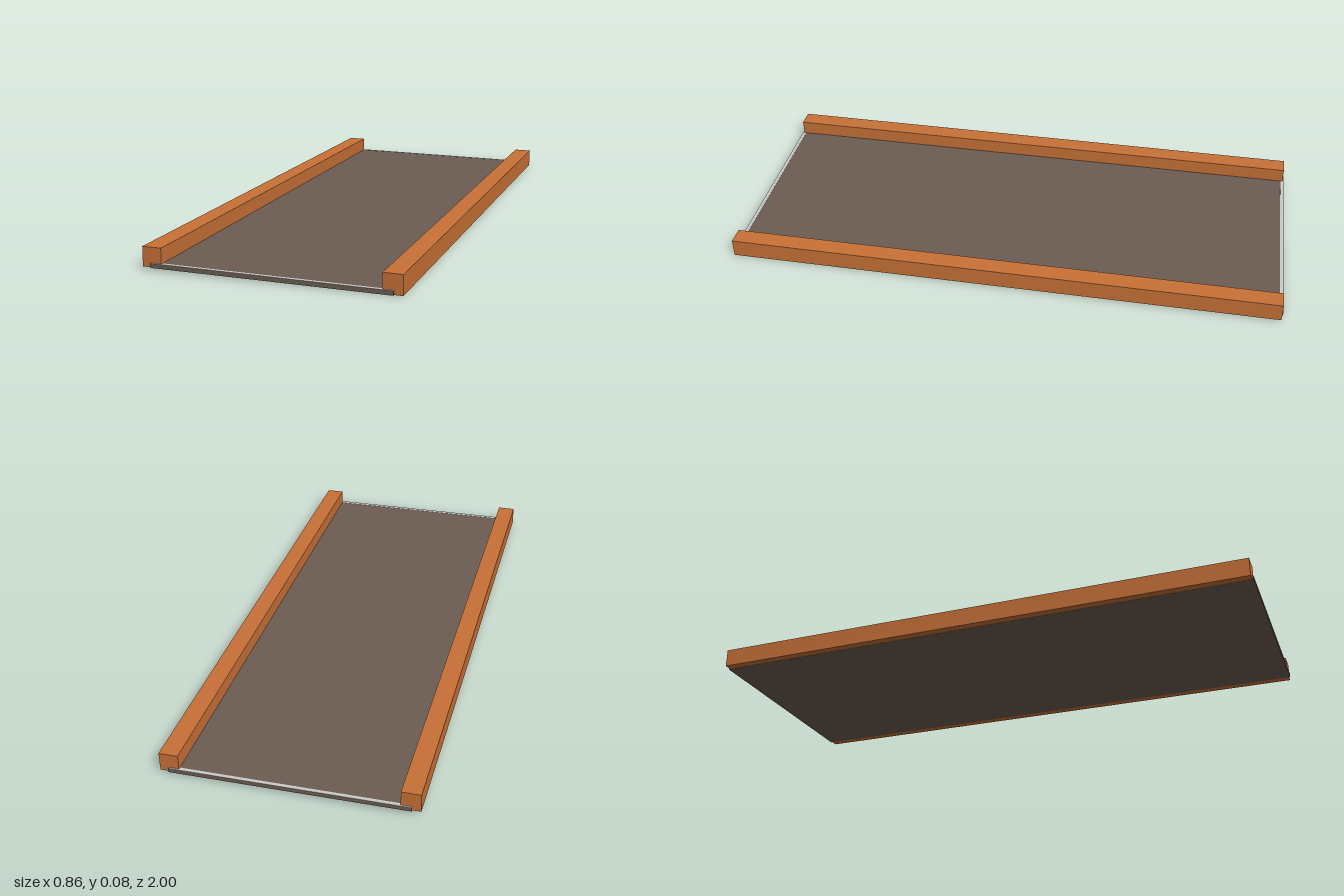
import * as THREE from 'three';

export function createModel() {
  const material = (name, color) => {
    const m = new THREE.MeshStandardMaterial({ color });
    m.name = name;
    return m;
  };
  const orange = material('orange', 0xc87137);
  const brown = material('grey brown', 0x6c5d53);
  const pale = material('pale grey', 0xc9cbc6);

  const model = new THREE.Group();
  model.name = 'trackSection';
  const box = (name, mat, w, h, d, x, bottom, z) => {
    const mesh = new THREE.Mesh(new THREE.BoxGeometry(w, h, d), mat);
    mesh.name = name;
    mesh.position.set(x, bottom + h / 2, z);
    model.add(mesh);
  };

  // Flat deck, reaching halfway under the rails and just past their ends
  box('deck', brown, 0.8, 0.0145, 1.998, 0, -0.0006, 0);

  for (const side of [-1, 1]) {
    // Square side rail
    box(side > 0 ? 'leftRail' : 'rightRail', orange, 0.065, 0.066, 1.987, side * 0.3965, 0, 0);
    // Thin pale strip along the end of the deck
    box(side > 0 ? 'frontStrip' : 'backStrip', pale, 0.8, 0.001, 0.013, 0, 0.0135, side * 0.9925);
  }

  // The whole section leans slightly to its left and front
  model.rotation.set(0.003, 0, -0.0116);
  model.position.y = 0.0088;

  const root = new THREE.Group();
  root.name = 'model';
  root.add(model);
  return root;
}
